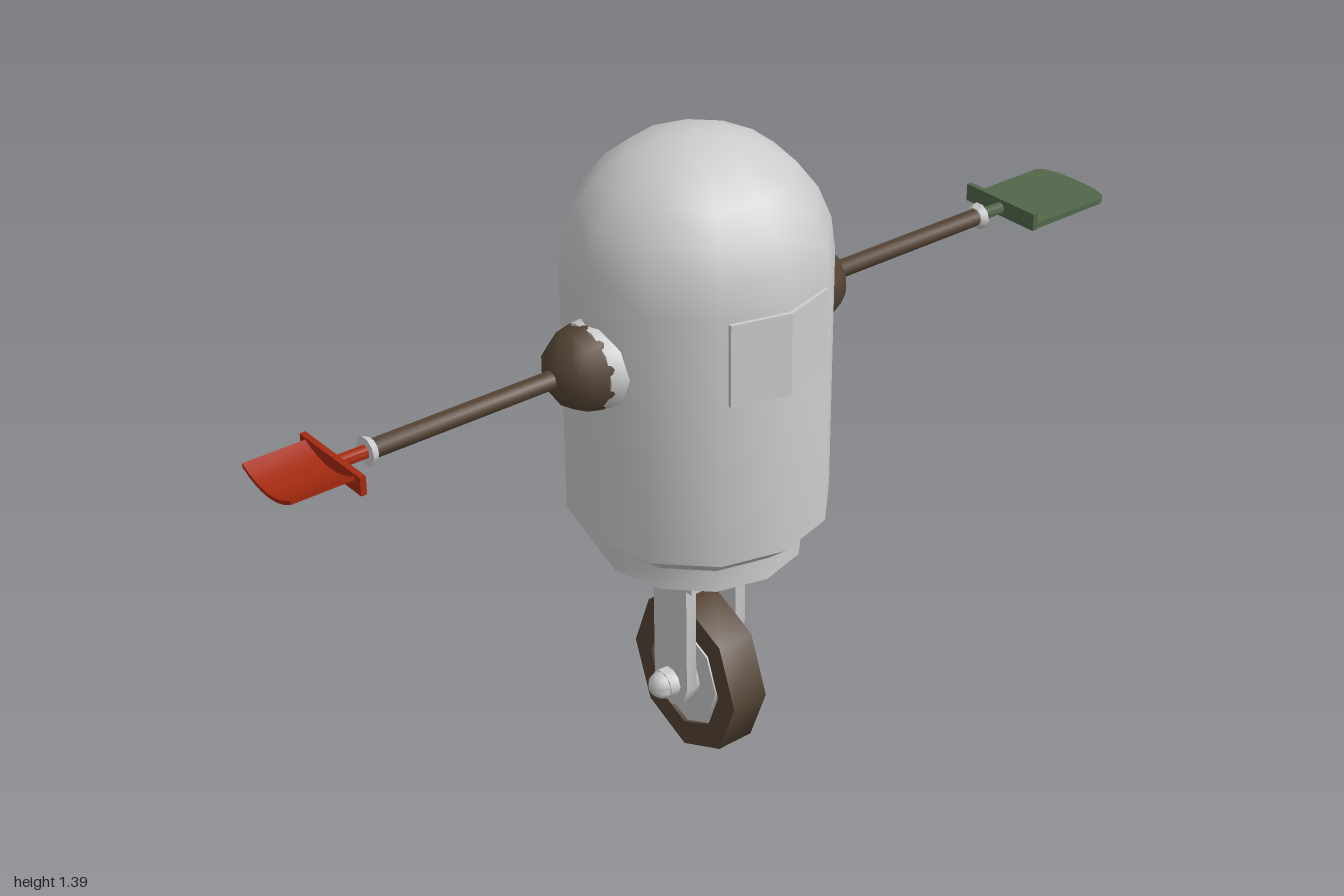
import * as THREE from 'three';
import { toCreasedNormals } from 'three/addons/utils/BufferGeometryUtils.js';

const paint = (color) => new THREE.MeshStandardMaterial({ color, side: THREE.DoubleSide });
const GREY = paint(0xcccccc);
const BROWN = paint(0x544334);
const GREEN = paint(0x52664a);
const RED = paint(0xa52a10);

function add(parent, name, geometry, material, x = 0, y = 0, z = 0) {
  const mesh = new THREE.Mesh(toCreasedNormals(geometry, 0.85), material);
  mesh.name = name;
  mesh.position.set(x, y, z);
  parent.add(mesh);
  return mesh;
}

const lathe = (points, sides) =>
  new THREE.LatheGeometry(points.map(([r, y]) => new THREE.Vector2(r, y)), sides);

// Cylinder lying along x, from x0 to x1
const rod = (x0, x1, r0, r1 = r0, sides = 10) =>
  new THREE.CylinderGeometry(r1, r0, x1 - x0, sides).rotateZ(-Math.PI / 2).translate((x0 + x1) / 2, 0, 0);

// Outline extruded by a depth
const slab = (points, depth) =>
  new THREE.ExtrudeGeometry(new THREE.Shape(points.map(([x, y]) => new THREE.Vector2(x, y))),
    { depth, bevelEnabled: false });

// Arm pointing along +x, ending at the tool
function arm(name) {
  const g = new THREE.Group();
  g.name = name;
  add(g, 'shoulderCollar', rod(0.235, 0.273, 0.097, 0.086), GREY);
  add(g, 'shoulderBall', new THREE.SphereGeometry(0.086, 10, 8).rotateZ(-Math.PI / 2), BROWN, 0.268);
  add(g, 'armRod', rod(0.33, 0.742, 0.019), BROWN);
  add(g, 'wristRing', rod(0.738, 0.753, 0.022, 0.029), GREY);
  return g;
}

function toolMount(g, material) {
  add(g, 'toolStem', rod(0.75, 0.815, 0.013), material);
  add(g, 'toolCrossbar', new THREE.BoxGeometry(0.012, 0.037, 0.196), material, 0.819, 0.001);
}

export function createModel() {
  const model = new THREE.Group();
  model.name = 'oneWheeledRobot';
  const robot = new THREE.Group();
  robot.name = 'robot';
  robot.position.set(-0.048, 0, -0.003);
  model.add(robot);

  // Domed body, tapering to the base
  const profile = [[0, 0.55], [0.21, 0.555], [0.265, 0.6], [0.265, 1.125]];
  for (let i = 1; i <= 6; i++) {
    const a = (i / 6) * Math.PI / 2;
    profile.push([i === 6 ? 0 : 0.265 * Math.cos(a), 1.125 + 0.265 * Math.sin(a)]);
  }
  add(robot, 'body', lathe(profile, 12), GREY);
  add(robot, 'base', new THREE.CylinderGeometry(0.212, 0.212, 0.052, 12), GREY, 0, 0.534);

  // Chest panel bent over two facets of the body
  const panel = slab([[-0.118, -0.215], [-0.118, -0.241], [0, -0.274],
    [0.118, -0.241], [0.118, -0.215], [0, -0.25]], 0.17).rotateX(-Math.PI / 2);
  const chest = add(robot, 'chestPanel', panel, GREY, 0, 0.95);
  chest.geometry.deleteAttribute('normal');
  chest.geometry.computeVertexNormals();

  // Swivel plates under the base
  add(robot, 'swivelTopPlate', new THREE.BoxGeometry(0.21, 0.02, 0.21), GREY, 0, 0.496);
  add(robot, 'swivelNeck', new THREE.CylinderGeometry(0.09, 0.09, 0.02, 10), GREY, 0, 0.48);
  add(robot, 'swivelBottomPlate', new THREE.BoxGeometry(0.21, 0.018, 0.21), GREY, 0, 0.466);

  // Fork legs with rounded ends, and axle nuts
  const leg = [[-0.053, 0.458], [-0.053, 0.18], [-0.038, 0.138], [0, 0.12],
    [0.038, 0.138], [0.053, 0.18], [0.053, 0.458]];
  for (const s of [-1, 1]) {
    add(robot, s > 0 ? 'leftForkLeg' : 'rightForkLeg',
      slab(leg, 0.025).rotateY(Math.PI / 2), GREY, s > 0 ? 0.052 : -0.077);
    const nut = new THREE.Group();
    nut.name = s > 0 ? 'leftAxleNut' : 'rightAxleNut';
    nut.position.y = 0.18;
    nut.rotation.y = s > 0 ? 0 : Math.PI;
    add(nut, 'nut', rod(0.075, 0.1, 0.032), GREY);
    add(nut, 'nutCap', new THREE.SphereGeometry(0.03, 10, 6).rotateZ(-Math.PI / 2), GREY, 0.099);
    robot.add(nut);
  }

  // Eight-sided wheel
  const wheel = new THREE.Group();
  wheel.name = 'wheel';
  wheel.position.y = 0.18;
  wheel.scale.z = 0.91;
  robot.add(wheel);
  const tyre = lathe([[0.122, -0.042], [0.179, -0.042], [0.179, 0.042], [0.122, 0.042], [0.122, -0.042]], 8);
  add(wheel, 'tyre', tyre.rotateZ(-Math.PI / 2), BROWN);
  add(wheel, 'rim', rod(-0.034, 0.034, 0.124, 0.124, 8), GREY);
  add(wheel, 'rimDisc', rod(-0.038, 0.038, 0.108, 0.108, 8), GREY);
  add(wheel, 'hub', rod(-0.056, 0.056, 0.052, 0.052, 8), GREY);

  // Left arm with a flat, round-ended paddle
  const left = arm('leftArm');
  left.position.y = 0.987;
  toolMount(left, GREEN);
  const tip = [[0.82, -0.096], [1.018, -0.096], [1.034, -0.085], [1.044, -0.05], [1.046, 0],
    [1.044, 0.05], [1.034, 0.085], [1.018, 0.096], [0.82, 0.096]];
  add(left, 'paddle', slab(tip, 0.012).rotateX(-Math.PI / 2), GREEN, 0, -0.017);
  robot.add(left);

  // Right arm with a shallow curved scoop
  const right = arm('rightArm');
  right.position.y = 0.987;
  right.rotation.y = Math.PI;
  toolMount(right, RED);
  const curve = [];
  for (let i = 0; i <= 8; i++) {
    const t = i / 4 - 1;
    curve.push([t * 0.08, -0.015 + 0.022 * t * t]);
  }
  const scoop = [...curve, ...curve.map(([x, y]) => [x, y + 0.008]).reverse()];
  add(right, 'scoop', slab(scoop, 0.135).rotateY(Math.PI / 2), RED, 0.817);
  robot.add(right);

  return model;
}
